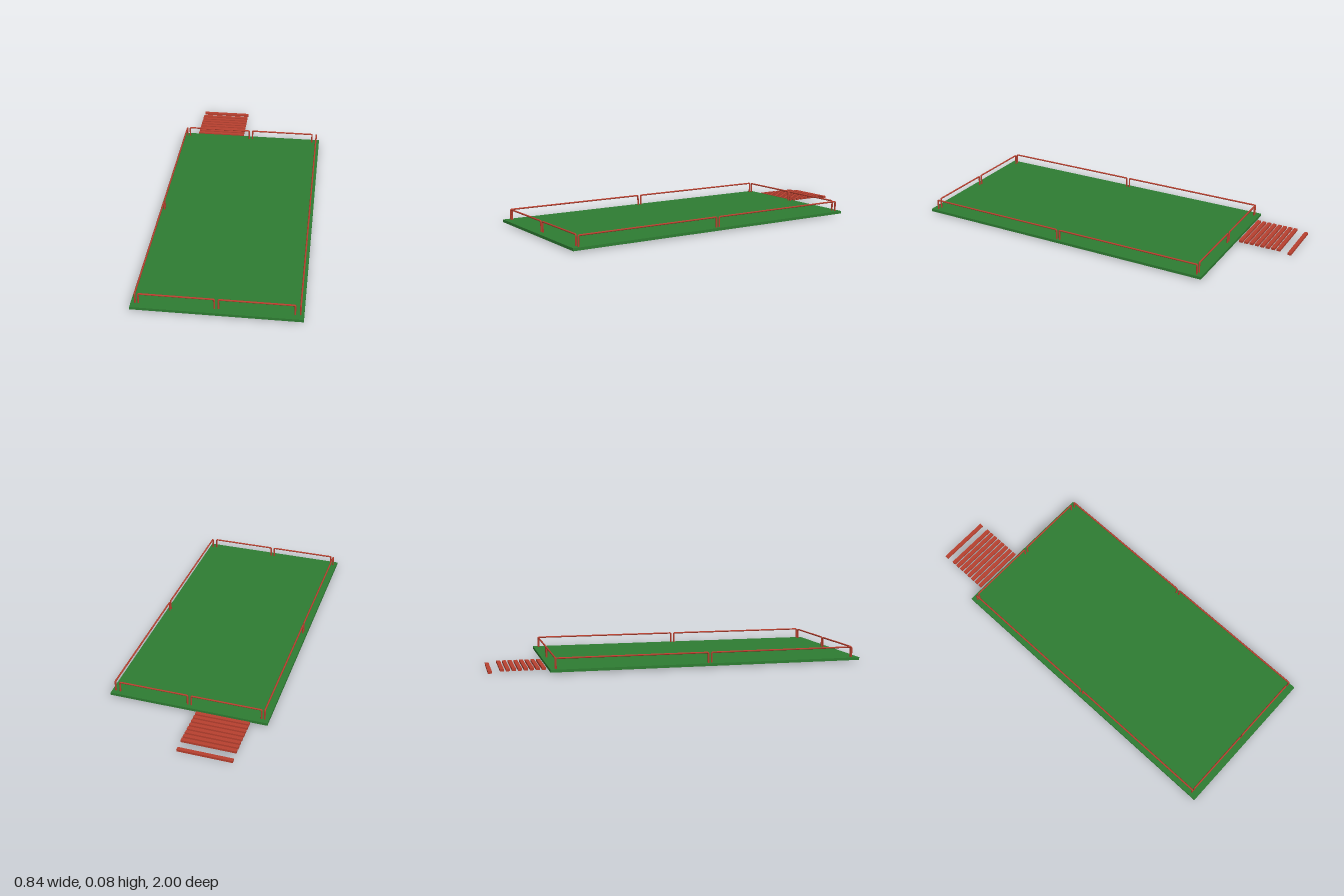
import * as THREE from 'three';

const green = new THREE.MeshStandardMaterial({ color: 0x2e7d32 });
const red = new THREE.MeshStandardMaterial({ color: 0xb8402f });

const DECK_TOP = 0.022, RAIL_TOP = 0.077, BEND = 0.007, TUBE = 0.0045;

function box(name, size, position, material) {
  const mesh = new THREE.Mesh(new THREE.BoxGeometry(...size), material);
  mesh.name = name;
  mesh.position.set(...position);
  return mesh;
}

// Hoop of bent pipe running from a to b along one axis, at a fixed offset on the other
function railing(name, axis, a, b, offset) {
  const point = (t, y) => axis === 'x'
    ? new THREE.Vector3(t, y, offset) : new THREE.Vector3(offset, y, t);
  const foot = DECK_TOP - 0.004, bendY = RAIL_TOP - BEND;
  const path = new THREE.CurvePath();
  path.add(new THREE.LineCurve3(point(a, foot), point(a, bendY)));
  path.add(new THREE.QuadraticBezierCurve3(point(a, bendY), point(a, RAIL_TOP), point(a + BEND, RAIL_TOP)));
  path.add(new THREE.LineCurve3(point(a + BEND, RAIL_TOP), point(b - BEND, RAIL_TOP)));
  path.add(new THREE.QuadraticBezierCurve3(point(b - BEND, RAIL_TOP), point(b, RAIL_TOP), point(b, bendY)));
  path.add(new THREE.LineCurve3(point(b, bendY), point(b, foot)));
  const mesh = new THREE.Mesh(new THREE.TubeGeometry(path, 260, TUBE, 10), red);
  mesh.name = name;
  return mesh;
}

export function createModel() {
  const model = new THREE.Group();
  model.name = 'railedPlatform';

  // Deck
  model.add(box('deck', [0.844, 0.0145, 1.693], [0, 0.01475, 0.1535], green));

  // Two hoops along each end
  const railings = new THREE.Group();
  railings.name = 'railings';
  for (const [end, z] of [['front', 0.963], ['back', -0.664]]) {
    railings.add(railing(end + 'RailingRight', 'x', -0.384, -0.012, z));
    railings.add(railing(end + 'RailingLeft', 'x', 0.008, 0.378, z));
  }
  // Two hoops along each side
  for (const [side, x] of [['right', -0.4], ['left', 0.404]]) {
    railings.add(railing(side + 'RailingFront', 'z', 0.163, 0.963, x));
    railings.add(railing(side + 'RailingBack', 'z', -0.663, 0.145, x));
  }
  model.add(railings);

  // Slatted walkway behind the deck, with one lower detached step
  const walkway = new THREE.Group();
  walkway.name = 'walkway';
  const slat = [0.284, 0.012, 0.02];
  for (let i = 0; i < 8; i++) {
    walkway.add(box('slat', slat, [-0.194, 0.015, -0.716 - i * 0.0305], red));
  }
  walkway.add(box('lowerStep', slat, [-0.194, 0.006, -0.99], red));
  model.add(walkway);

  return model;
}
